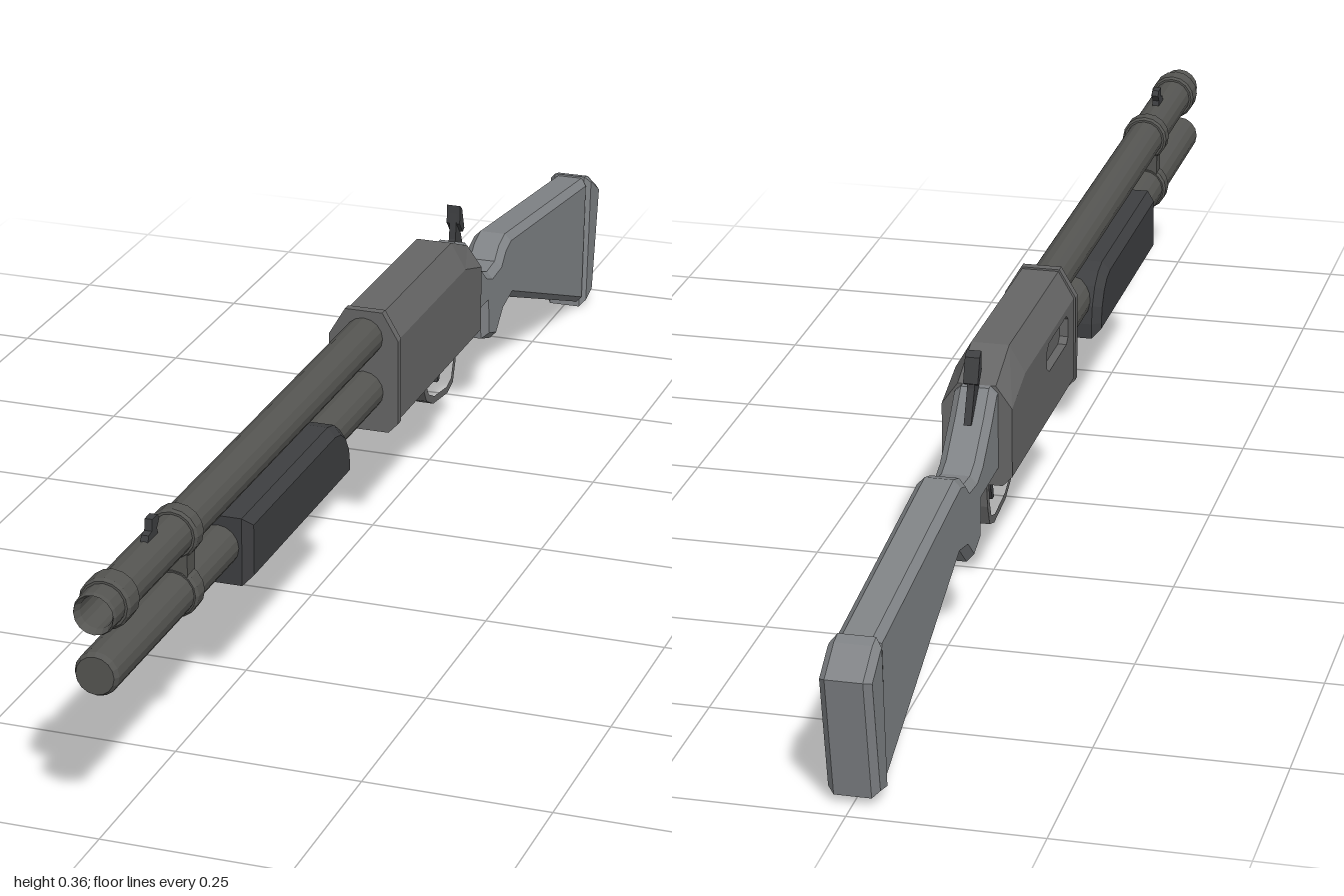
import * as THREE from 'three';

const mat = (color) => new THREE.MeshStandardMaterial({ color, flatShading: true });

export function createModel() {
  const model = new THREE.Group();
  const steel = mat(0x555552), body = mat(0x666666), dark = mat(0x3e3f41), stockGrey = mat(0x808386);

  const add = (name, geometry, material) => {
    const mesh = new THREE.Mesh(geometry, material);
    mesh.name = name;
    model.add(mesh);
    return mesh;
  };
  const toShape = (pts) => new THREE.Shape(pts.map(([a, b]) => new THREE.Vector2(a, b)));

  // Side profile of [z, y] points, extruded across x with chamfered edges
  const side = (pts, width, bevel = 0, hole = null) => {
    const shape = toShape(pts);
    if (hole) shape.holes.push(toShape(hole));
    const depth = width - 2 * bevel;
    return new THREE.ExtrudeGeometry(shape, {
      depth, curveSegments: 6, bevelEnabled: bevel > 0, bevelSegments: 1,
      bevelSize: bevel, bevelThickness: bevel, bevelOffset: -bevel,
    }).translate(0, 0, -depth / 2).rotateY(-Math.PI / 2);
  };
  // Turned part along z, from [radius, z] points
  const turned = (pts, y) => new THREE.LatheGeometry(
    pts.map(([r, z]) => new THREE.Vector2(r, z)), 16).rotateX(Math.PI / 2).translate(0, y, 0);
  const ring = (z0, z1, r, y) => turned(
    [[0.026, z0], [r - 0.003, z0], [r, z0 + 0.004], [r, z1 - 0.004], [r - 0.003, z1], [0.026, z1]], y);

  const barrelY = 0.302, magY = 0.222;

  // Barrel with open bore, magazine tube below it
  add('barrel', turned([[0.028, 0.02], [0.028, 0.995], [0.026, 1], [0.0215, 0.99], [0.0215, 0.9], [0, 0.9]], barrelY), steel);
  add('magazineTube', turned([[0.029, 0.02], [0.029, 0.993], [0.025, 1], [0, 1]], magY), steel);
  add('muzzleCollar', ring(0.932, 0.968, 0.034, barrelY), steel);

  // Clamp joining both tubes
  add('clampUpperRing', ring(0.722, 0.75, 0.034, barrelY), steel);
  add('clampLowerRing', ring(0.722, 0.75, 0.034, magY), steel);
  add('clampBridge', new THREE.BoxGeometry(0.04, 0.04, 0.026).translate(0, 0.262, 0.736), steel);

  // Front sight
  add('frontSight', side([[0.84, 0.325], [0.835, 0.337], [0.825, 0.339], [0.823, 0.354],
    [0.806, 0.354], [0.8, 0.347], [0.808, 0.337], [0.805, 0.325]], 0.01), dark);

  // Sliding forend, rounded down at its rear
  add('forend', side([[0.595, 0.17], [0.595, 0.264], [0.275, 0.264], [0.25, 0.258], [0.228, 0.243],
    [0.212, 0.218], [0.207, 0.192], [0.207, 0.17]], 0.09, 0.012), dark);

  // Receiver core: cross-section along z, the top lowered at the rear end
  const section = [[0.026, 0.338], [-0.026, 0.338], [-0.048, 0.3], [-0.036, 0.3], [-0.036, 0.18],
    [-0.048, 0.18], [-0.035, 0.166], [0.035, 0.166], [0.048, 0.18], [0.048, 0.3]];
  const receiver = new THREE.ExtrudeGeometry(toShape(section), { depth: 0.375, steps: 5, bevelEnabled: false });
  receiver.translate(0, 0, -0.34);
  const p = receiver.attributes.position;
  for (let i = 0; i < p.count; i++) {
    if (p.getZ(i) < -0.33 && p.getY(i) > 0.18) p.setY(i, p.getY(i) - (p.getY(i) - 0.18) * 0.19);
  }
  receiver.computeVertexNormals();
  add('receiver', receiver, body);

  // Right receiver wall with the ejection port cut through
  add('ejectionPortWall', side(
    [[0.035, 0.18], [0.035, 0.3], [-0.265, 0.3], [-0.34, 0.2772], [-0.34, 0.18]], 0.012, 0,
    [[-0.02, 0.248], [-0.01, 0.256], [-0.01, 0.282], [-0.02, 0.29],
      [-0.125, 0.29], [-0.137, 0.282], [-0.137, 0.256], [-0.125, 0.248]]), body).position.x = -0.042;

  // Lip around the receiver front
  const lip = section.filter(([x]) => x !== -0.036).map(([x, y]) => [x * 1.05, 0.252 + (y - 0.252) * 1.03]);
  add('receiverLip', new THREE.ExtrudeGeometry(toShape(lip), { depth: 0.013, bevelEnabled: false })
    .translate(0, 0, 0.025), body);

  // Trigger guard loop and trigger
  add('triggerGuard', side(
    [[-0.14, 0.172], [-0.15, 0.155], [-0.185, 0.14], [-0.2, 0.115], [-0.23, 0.1], [-0.295, 0.092],
      [-0.32, 0.1], [-0.332, 0.13], [-0.338, 0.172]], 0.024, 0,
    [[-0.185, 0.162], [-0.195, 0.145], [-0.21, 0.122], [-0.235, 0.11], [-0.292, 0.103],
      [-0.311, 0.109], [-0.32, 0.132], [-0.324, 0.162]]), body);
  add('trigger', side([[-0.255, 0.17], [-0.268, 0.152], [-0.273, 0.137], [-0.268, 0.118], [-0.277, 0.118],
    [-0.286, 0.137], [-0.286, 0.17]], 0.01), dark);

  // Hammer: thin stem with a wider thumb spur
  add('hammerStem', side([[-0.335, 0.28], [-0.348, 0.312], [-0.353, 0.35], [-0.366, 0.345],
    [-0.372, 0.315], [-0.392, 0.27]], 0.01), dark);
  add('hammerSpur', side([[-0.352, 0.335], [-0.354, 0.362], [-0.363, 0.355], [-0.374, 0.322],
    [-0.367, 0.318]], 0.02), dark);

  // Stock with grip
  add('stock', side([[-0.33, 0.308], [-0.35, 0.308], [-0.38, 0.277], [-0.43, 0.235], [-0.455, 0.226],
    [-0.492, 0.229], [-0.512, 0.247], [-0.54, 0.256], [-0.94, 0.212], [-0.925, 0.008], [-0.55, 0.152],
    [-0.51, 0.143], [-0.475, 0.113], [-0.43, 0.128], [-0.425, 0.18], [-0.33, 0.182]], 0.058, 0.01), stockGrey);

  // Butt pad
  add('buttPad', side([[-0.937, 0.215], [-0.955, 0.211], [-1, 0.182], [-0.968, 0.013], [-0.92, 0.002]],
    0.066, 0.009), stockGrey);

  return model;
}
